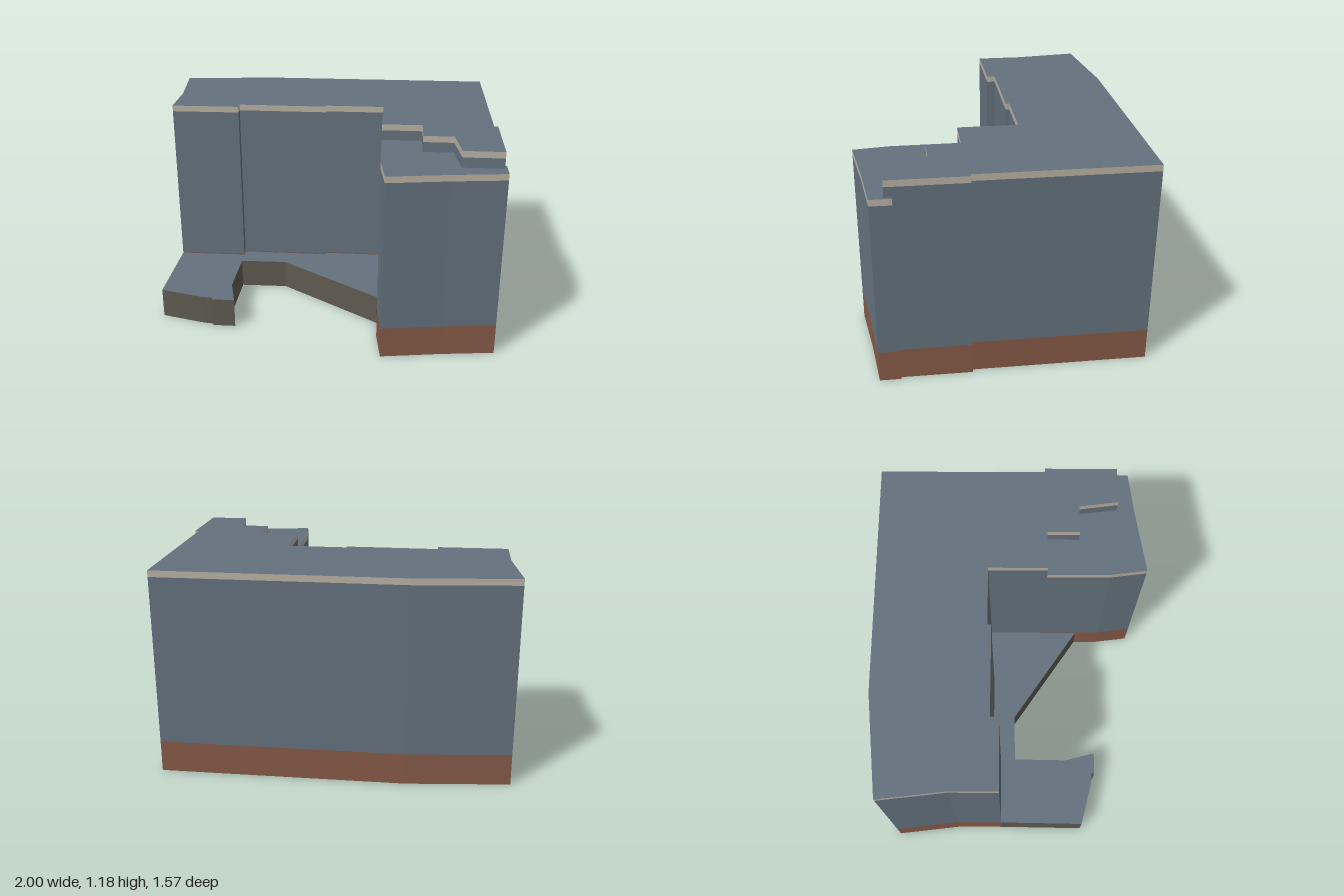
import * as THREE from 'three';

const mat = (name, color) => {
  const m = new THREE.MeshStandardMaterial({ color });
  m.name = name;
  return m;
};

// Vertical prism over a plan outline of [x, z] points
function prism(name, plan, y0, y1, capMat, sideMat) {
  const shape = new THREE.Shape(plan.map(([x, z]) => new THREE.Vector2(x, -z)));
  const geo = new THREE.ExtrudeGeometry(shape, { depth: y1 - y0, bevelEnabled: false });
  geo.rotateX(-Math.PI / 2);
  geo.translate(0, y0, 0);
  const mesh = new THREE.Mesh(geo, [capMat, sideMat]);
  mesh.name = name;
  return mesh;
}

export function createModel() {
  const slate = mat('slate blue', 0x64727e);
  const brick = mat('brick', 0x865a48);
  const trim = mat('pale stone', 0xbab1a3);
  const concrete = mat('dark concrete', 0x5e5a4f);

  // Plan lines shared by neighbouring blocks
  const steps = [[0.985, 0.615], [0.76, 0.615], [0.73, 0.385], [0.56, 0.385], [0.56, 0.197], [0.33, 0.197]];
  const facade = [[0.33, -0.145], [-0.02, -0.145], [-0.02, -0.123], [-0.55, -0.123], [-0.55, -0.075], [-0.955, -0.07]];

  const mainPlan = [
    [-0.955, -0.34], [-1, -0.72], [-0.42, -0.78], [0.96, -0.787], [0.963, 0.185], [0.985, 0.185],
    ...steps, ...facade,
  ];
  const wingPlan = [
    ...[...steps].reverse(), [0.985, 0.573], [1, 0.573], [1, 0.69], [0.7, 0.727], [0.36, 0.78], [0.333, 0.57],
  ];
  const podiumPlan = [
    ...facade, [-0.962, 0.435], [-0.7, 0.502], [-0.64, 0.508], [-0.64, 0.524], [-0.508, 0.524],
    [-0.555, 0.34], [-0.55, 0.015], [-0.27, 0.01], [0.33, 0.42],
  ];

  const model = new THREE.Group();
  model.name = 'building';

  // Tall blocks: brick base, slate walls, stone roof edge
  const block = (name, plan, height) => {
    const g = new THREE.Group();
    g.name = name;
    g.add(
      prism(name + 'Base', plan, 0, 0.18, brick, brick),
      prism(name + 'Walls', plan, 0.18, height - 0.036, slate, slate),
      prism(name + 'Roof', plan, height - 0.036, height, slate, trim),
    );
    return g;
  };
  model.add(block('mainBlock', mainPlan, 1.176), block('frontWing', wingPlan, 1.083));

  // Low podium with a slate roof
  model.add(
    prism('podium', podiumPlan, 0, 0.17, concrete, concrete),
    prism('podiumRoof', podiumPlan, 0.17, 0.175, slate, concrete),
  );
  return model;
}
